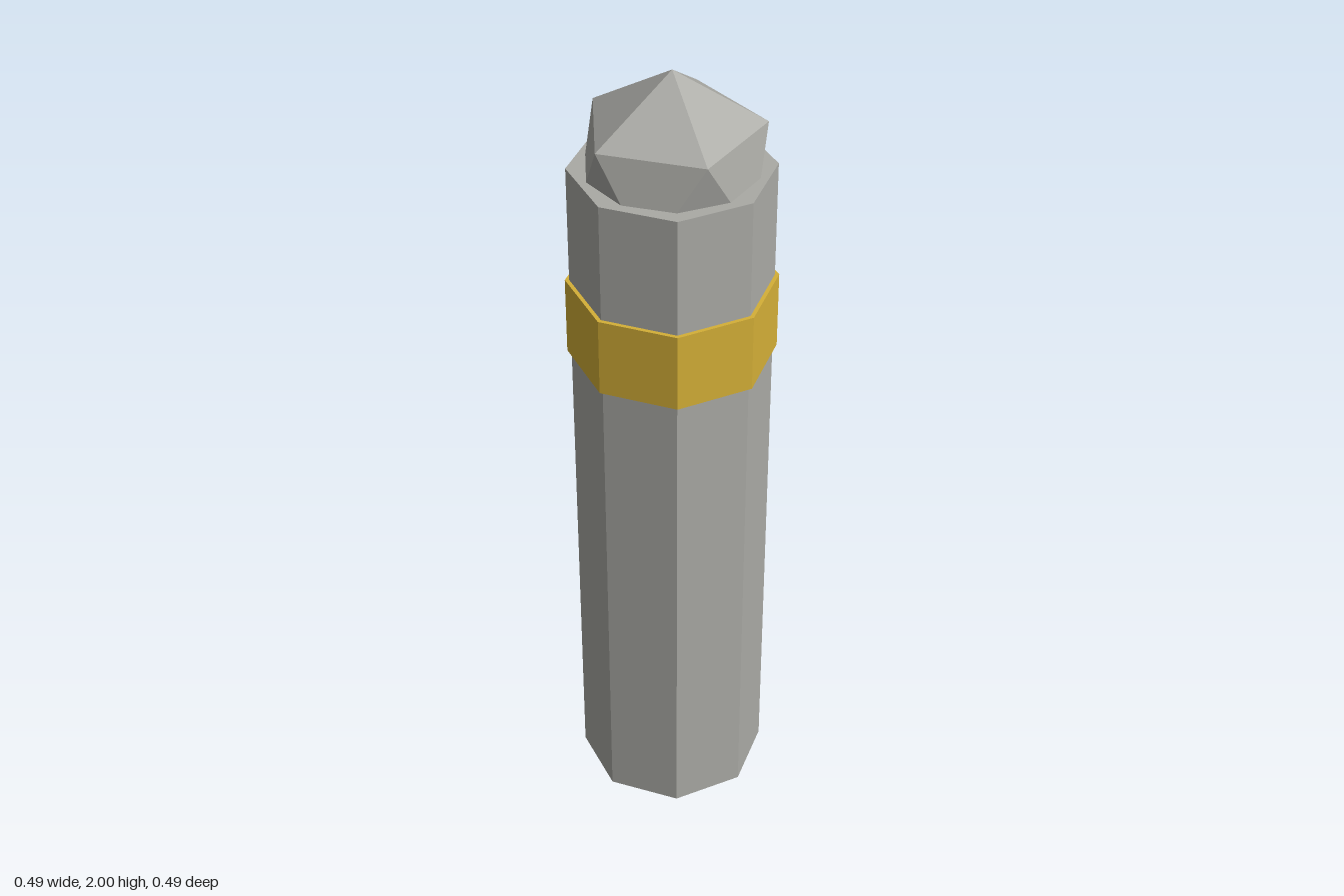
import * as THREE from 'three';

export function createModel() {
  const group = new THREE.Group();
  const stone = new THREE.MeshStandardMaterial({ name: 'stone grey', color: 0xaaaaa5, flatShading: true });
  const gold = new THREE.MeshStandardMaterial({ name: 'gold', color: 0xd4af37, flatShading: true });

  const add = (name, geometry, material, y) => {
    const mesh = new THREE.Mesh(geometry, material);
    mesh.name = name;
    mesh.position.y = y;
    group.add(mesh);
  };

  // Eight-sided post
  const radius = 0.235, height = 1.765;
  add('post', new THREE.CylinderGeometry(radius, radius, height, 8), stone, height / 2);

  // Slightly wider band around the upper post
  add('band', new THREE.CylinderGeometry(0.245, 0.245, 0.195, 8), gold, 1.377);

  // Faceted cap, turned so one corner points straight up and half is sunk in the post
  const cap = new THREE.IcosahedronGeometry(radius, 0);
  cap.rotateZ(-Math.atan(2 / (1 + Math.sqrt(5))));
  add('cap', cap, stone, height);

  return group;
}
